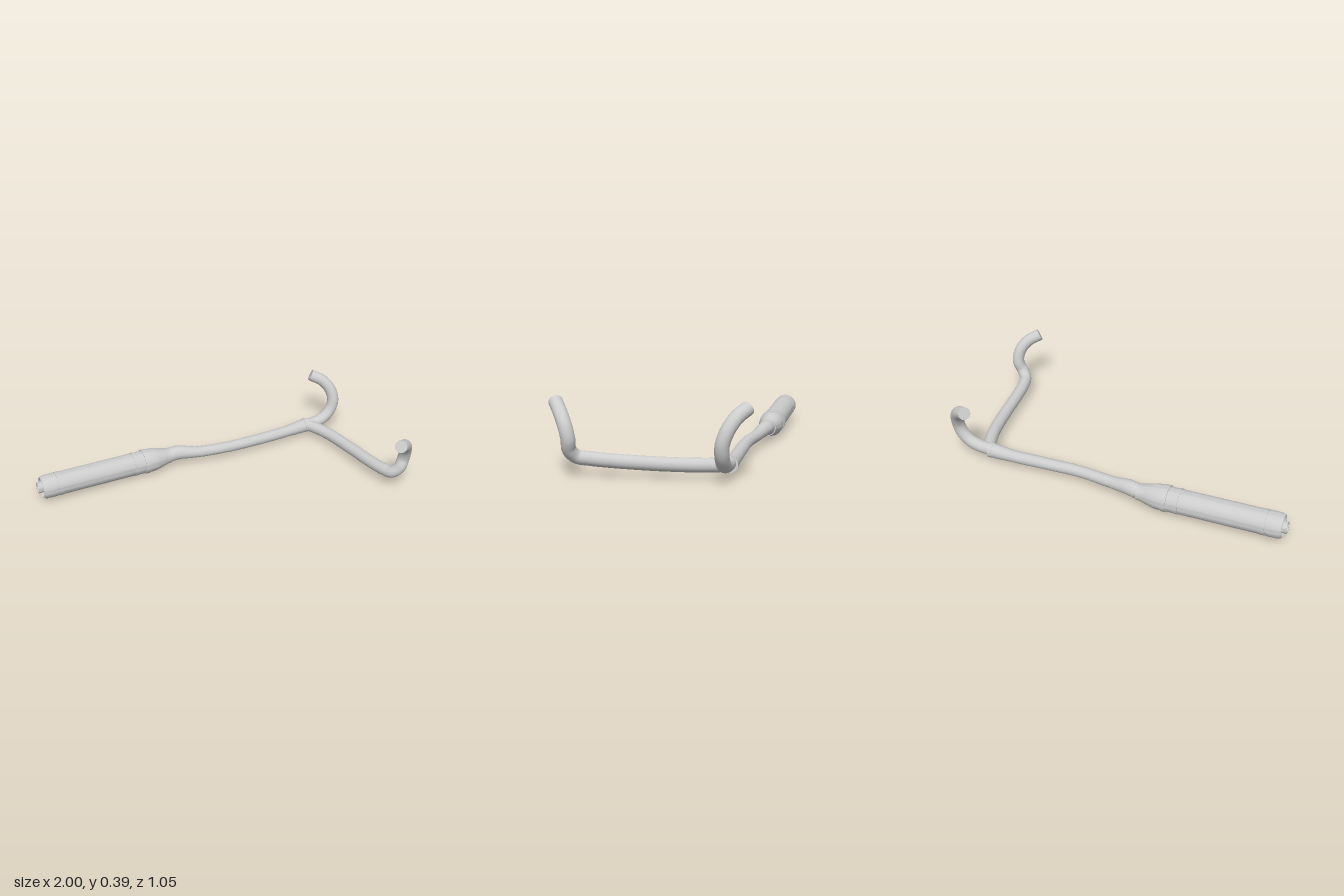
import * as THREE from 'three';
import { toCreasedNormals } from 'three/addons/utils/BufferGeometryUtils.js';

const steel = new THREE.MeshStandardMaterial({ color: 0xcccccc, side: THREE.DoubleSide });
steel.name = 'steel grey';

const V = (a) => new THREE.Vector3(...a);

// Capped pipe swept through points; radii is a list of [u, radius] stops along its length
function pipe(name, points, radii, segments = 64) {
  const group = new THREE.Group();
  group.name = name;
  const curve = new THREE.CatmullRomCurve3(points.map(V));
  const radiusAt = (u) => {
    const k = Math.max(1, radii.findIndex((s) => s[0] >= u - 1e-6));
    const [u0, r0] = radii[k - 1], [u1, r1] = radii[k];
    return THREE.MathUtils.lerp(r0, r1, (u - u0) / (u1 - u0));
  };
  const geo = new THREE.TubeGeometry(curve, segments, 1, 28);
  const pos = geo.attributes.position, uv = geo.attributes.uv, p = new THREE.Vector3();
  for (let i = 0; i < pos.count; i++) {
    const u = uv.getX(i), c = curve.getPointAt(u);
    p.fromBufferAttribute(pos, i).sub(c).multiplyScalar(radiusAt(u)).add(c);
    pos.setXYZ(i, p.x, p.y, p.z);
  }
  const wall = new THREE.Mesh(geo, steel);
  wall.name = name + 'Wall';
  group.add(wall);
  for (const u of [0, 1]) {
    const cap = new THREE.Mesh(new THREE.CircleGeometry(radiusAt(u), 28), steel);
    const at = curve.getPointAt(u);
    cap.name = name + 'Cap';
    cap.position.copy(at);
    cap.lookAt(at.add(curve.getTangentAt(u).multiplyScalar(u ? 1 : -1)));
    group.add(cap);
  }
  return group;
}

// Turned part whose profile [distance, radius] runs along a line from one point toward another
function turned(name, from, to, profile) {
  const geo = new THREE.LatheGeometry(profile.map(([d, r]) => new THREE.Vector2(r, d)), 48);
  const mesh = new THREE.Mesh(toCreasedNormals(geo, 0.45), steel);
  mesh.name = name;
  mesh.position.copy(V(from));
  mesh.quaternion.setFromUnitVectors(new THREE.Vector3(0, 1, 0), V(to).sub(V(from)).normalize());
  return mesh;
}

export function createModel() {
  const model = new THREE.Group();
  model.name = 'exhaustSystem';

  // Silencer: recessed rear, rounded end cap, body, bands and front cone
  const rear = [-0.98, 0.087, -0.457], front = [-0.17, 0.078, -0.442];
  model.add(turned('silencer', rear, front, [
    [0.03, 0], [0.03, 0.046], [0.004, 0.054], [0, 0.058], [0.004, 0.064], [0.02, 0.069],
    [0.08, 0.07], [0.08, 0.067], [0.09, 0.067], [0.09, 0.07], [0.115, 0.07], [0.115, 0.068],
    [0.565, 0.068], [0.565, 0.071], [0.585, 0.071], [0.585, 0.069],
    [0.63, 0.069], [0.63, 0.074], [0.66, 0.074], [0.66, 0.071], [0.70, 0.07],
    [0.73, 0.063], [0.775, 0.051], [0.79, 0.047], [0.81, 0.046], [0.81, 0],
  ]));

  // Open outlet stub at the rear
  model.add(turned('outletTip', [-1, 0.089, -0.462], front, [
    [0.05, 0], [0.05, 0.026], [0, 0.026], [0, 0.033], [0.06, 0.033],
  ]));

  // Long middle pipe, flared at both ends
  model.add(pipe('middlePipe', [
    [-0.172, 0.08, -0.442], [-0.12, 0.086, -0.434], [0, 0.071, -0.407], [0.2, 0.067, -0.376],
    [0.4, 0.063, -0.371], [0.6, 0.062, -0.372], [0.7, 0.067, -0.372], [0.765, 0.071, -0.372],
  ], [[0, 0.036], [0.008, 0.044], [0.06, 0.043], [0.18, 0.034], [0.4, 0.033],
    [0.85, 0.035], [0.95, 0.041], [1, 0.042]], 100));

  // Collar where the two headers join
  model.add(turned('collar', [0.745, 0.07, -0.372], [0.79, 0.073, -0.372], [
    [0, 0.04], [0, 0.043], [0.02, 0.045], [0.022, 0.045], [0.022, 0],
  ]));

  // Short header, curling up and back
  const even = [[0, 0.036], [1, 0.036]];
  model.add(pipe('rearHeader', [
    [0.755, 0.074, -0.37], [0.83, 0.077, -0.367], [0.895, 0.1, -0.366], [0.942, 0.15, -0.367],
    [0.959, 0.21, -0.372], [0.948, 0.275, -0.395], [0.91, 0.33, -0.43], [0.845, 0.366, -0.474],
  ], even));

  // Long header crossing to the front, with the same curl
  model.add(pipe('frontHeader', [
    [0.772, 0.071, -0.37], [0.8, 0.071, -0.31], [0.832, 0.073, -0.2], [0.858, 0.077, 0],
    [0.874, 0.085, 0.2], [0.886, 0.093, 0.3], [0.903, 0.105, 0.365], [0.935, 0.145, 0.392],
    [0.957, 0.2, 0.389], [0.95, 0.27, 0.408], [0.91, 0.33, 0.446], [0.845, 0.366, 0.49],
  ], even, 110));

  return model;
}
